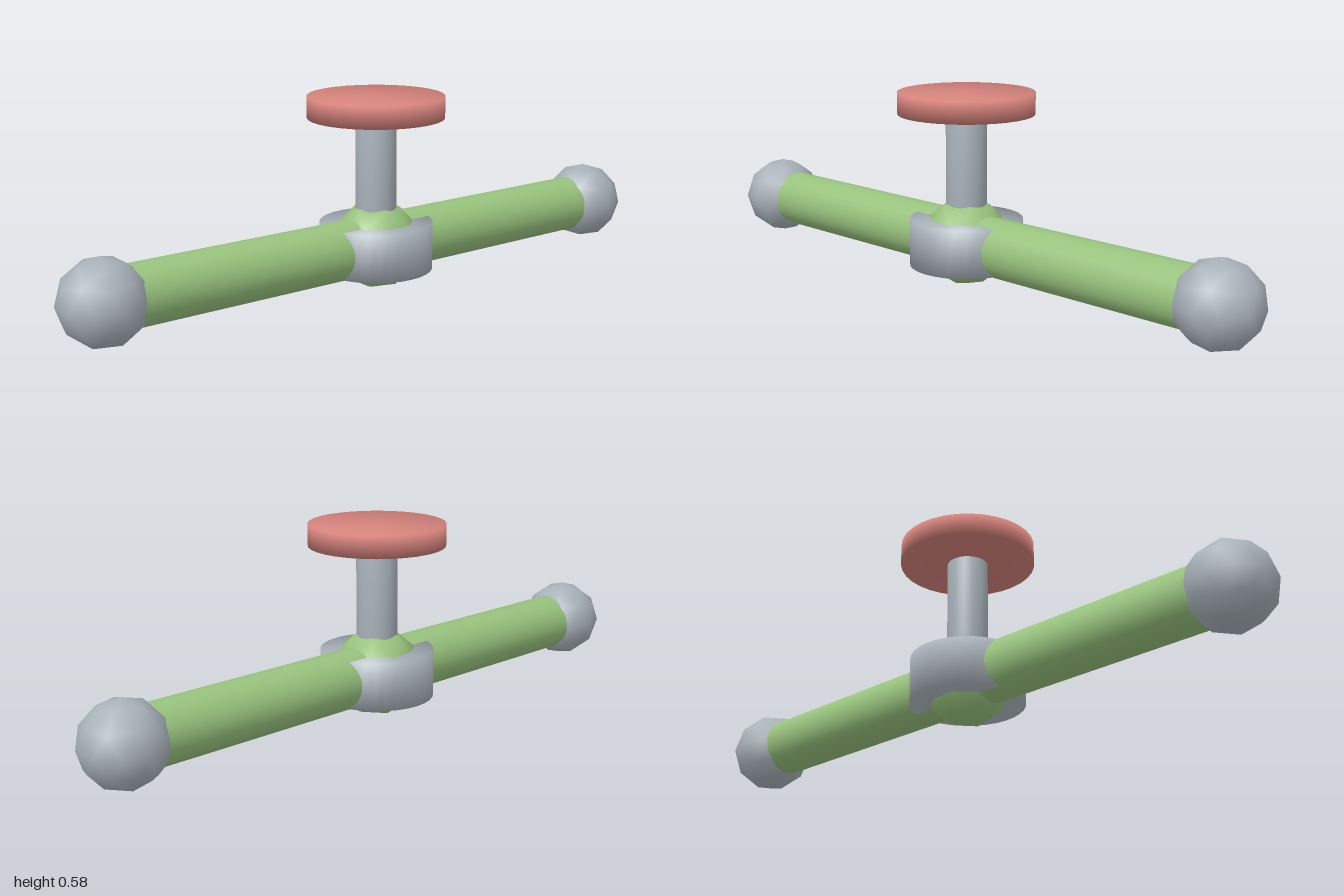
import * as THREE from 'three';
import { mergeVertices } from 'three/addons/utils/BufferGeometryUtils.js';

const AXIS_Y = 0.134; // height of the horizontal rod's axis

// Cylinder whose rim is shaded smoothly into its caps
function softCylinder(radius, height) {
  const g = new THREE.CylinderGeometry(radius, radius, height, 32);
  g.deleteAttribute('normal');
  g.deleteAttribute('uv');
  const merged = mergeVertices(g);
  merged.computeVertexNormals();
  return merged;
}

// Coarse icosphere standing on a vertex, with a ring vertex facing +z or -z
function icoBall(radius) {
  const g = new THREE.IcosahedronGeometry(radius, 1);
  g.rotateZ(Math.atan2(1, (1 + Math.sqrt(5)) / 2));
  g.rotateY(Math.PI / 2);
  return g;
}

export function createModel() {
  const steel = new THREE.MeshStandardMaterial({ color: 0xa9b2ba });
  steel.name = 'grey';
  const green = new THREE.MeshStandardMaterial({ color: 0x98c27d });
  green.name = 'green';
  const red = new THREE.MeshStandardMaterial({ color: 0xd4827b });
  red.name = 'red';

  const model = new THREE.Group();
  model.name = 'handleBarWithKnob';
  const add = (name, geometry, material, y, z = 0) => {
    const mesh = new THREE.Mesh(geometry, material);
    mesh.name = name;
    mesh.position.set(0, y, z);
    model.add(mesh);
    return mesh;
  };

  // Long horizontal rod with a ball at each end
  add('rod', softCylinder(0.086, 1.72).rotateX(Math.PI / 2), green, AXIS_Y);
  add('frontBall', icoBall(0.122), steel, AXIS_Y, 0.884);
  add('backBall', icoBall(0.122), steel, AXIS_Y, -0.884);

  // Central joint: a ball held inside a round collar
  add('jointBall', icoBall(0.132), green, AXIS_Y);
  add('collar', softCylinder(0.167, 0.14), steel, AXIS_Y - 0.001);

  // Upright post and round pad
  add('post', softCylinder(0.06, 0.4), steel, 0.335);
  add('pad', softCylinder(0.2, 0.064), red, 0.545);

  return model;
}
